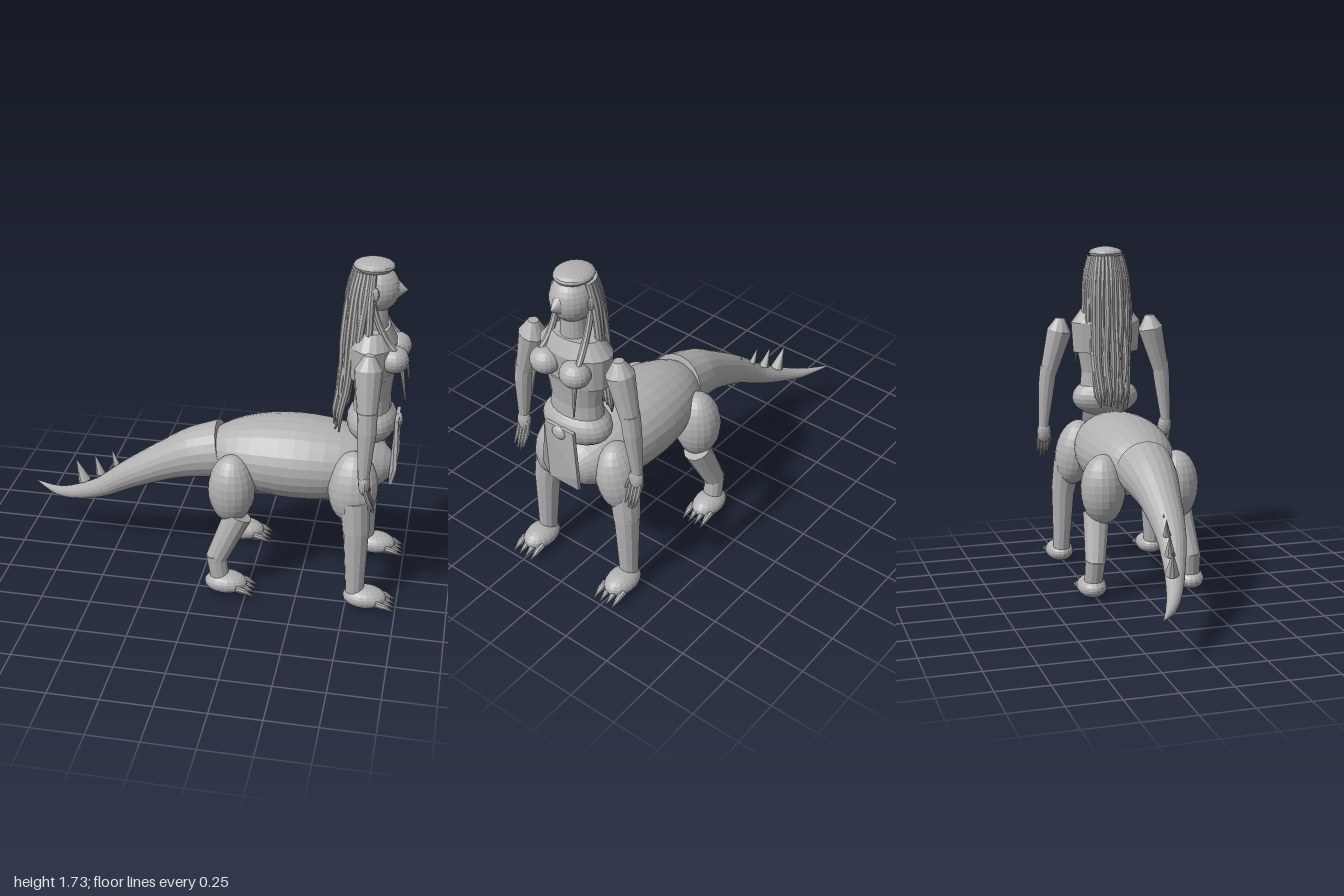
import * as THREE from 'three';

const grey = new THREE.MeshStandardMaterial({ color: 0xb0b0b0, flatShading: true });
grey.name = 'grey';

function add(parent, name, geometry) {
  const mesh = new THREE.Mesh(geometry, grey);
  mesh.name = name;
  parent.add(mesh);
  return mesh;
}

// Ellipsoid from centre and half sizes; poles lie along x when lying is true
function ellipsoid(parent, name, c, h, w = 24, rows = 14, lying = false) {
  const g = new THREE.SphereGeometry(1, w, rows);
  if (lying) g.rotateZ(Math.PI / 2);
  g.scale(...h);
  const mesh = add(parent, name, g);
  mesh.position.set(...c);
  return mesh;
}

// Round sweep through [x, y, z, radius] points, closed at both ends
function sweep(parent, name, pts, sides = 12, smooth = 0) {
  if (smooth) {
    const line = new THREE.CatmullRomCurve3(pts.map(p => new THREE.Vector3(p[0], p[1], p[2])));
    const n = pts.length - 1;
    pts = Array.from({ length: smooth + 1 }, (_, i) => {
      const t = i / smooth, k = Math.min(Math.floor(t * n), n - 1);
      return [...line.getPoint(t).toArray(), THREE.MathUtils.lerp(pts[k][3], pts[k + 1][3], t * n - k)];
    });
  }
  const P = pts.map(p => new THREE.Vector3(p[0], p[1], p[2])), pos = [], idx = [], last = P.length - 1;
  P.forEach((p, i) => {
    const t = P[Math.min(i + 1, last)].clone().sub(P[Math.max(i - 1, 0)]).normalize();
    const u = new THREE.Vector3(0, 0, 1).cross(t).normalize();
    const v = t.clone().cross(u);
    for (let j = 0; j < sides; j++) {
      const a = j / sides * Math.PI * 2, r = pts[i][3];
      pos.push(...p.clone().addScaledVector(u, r * Math.cos(a)).addScaledVector(v, r * Math.sin(a)).toArray());
    }
  });
  const c0 = pos.length / 3;
  pos.push(...P[0].toArray(), ...P[last].toArray());
  for (let j = 0; j < sides; j++) {
    const k = (j + 1) % sides;
    for (let i = 0; i < last; i++) {
      const a = i * sides + j, b = i * sides + k;
      idx.push(a, b, a + sides, b, b + sides, a + sides);
    }
    idx.push(c0, k, j, c0 + 1, last * sides + j, last * sides + k);
  }
  const g = new THREE.BufferGeometry();
  g.setAttribute('position', new THREE.Float32BufferAttribute(pos, 3));
  g.setIndex(idx);
  g.computeVertexNormals();
  return add(parent, name, g);
}

// Oval lathe standing at x with half-depth scale sx
function ovalLathe(parent, name, x, profile, sx) {
  const g = new THREE.LatheGeometry(profile.map(p => new THREE.Vector2(...p)), 20);
  g.scale(sx, 1, 1);
  add(parent, name, g).position.x = x;
}

function foot(parent, x, z) {
  ellipsoid(parent, 'foot', [x, 0.06, z], [0.108, 0.055, 0.075], 18, 12);
  for (let i = 0; i < 4; i++) {
    const dz = (i - 1.5) * 0.037;
    sweep(parent, 'claw', [[x + 0.06, 0.055, z + dz, 0.017], [x + 0.1, 0.045, z + dz, 0.015], [x + 0.153, 0.02, z + dz, 0.001]], 8);
  }
}

export function createModel() {
  const model = new THREE.Group();
  model.name = 'reptileCentaur';

  // Four-legged body and tail
  ellipsoid(model, 'body', [0.46, 0.675, 0], [0.48, 0.207, 0.24], 28, 20, true);
  sweep(model, 'tail', [[0.08, 0.675, 0, 0.148], [-0.06, 0.64, 0, 0.13], [-0.2, 0.58, -0.004, 0.103], [-0.42, 0.458, -0.02, 0.073],
    [-0.58, 0.347, -0.055, 0.052], [-0.74, 0.272, -0.108, 0.037], [-0.85, 0.24, -0.16, 0.025], [-1, 0.24, -0.245, 0.001]], 20, 28);

  // Spikes along the tail
  const spikes = [[-0.68, 0.35, -0.1, 0.034, -0.725, 0.468], [-0.585, 0.41, -0.08, 0.026, -0.617, 0.516],
    [-0.495, 0.48, -0.065, 0.019, -0.52, 0.565], [-0.4, 0.52, -0.045, 0.009, -0.41, 0.56]];
  for (const [x, y, z, r, tx, ty] of spikes)
    sweep(model, 'tailSpike', [[x, y, z, r], [tx, ty, z - 0.01, 0.001]], 10);

  for (const s of [1, -1]) {
    // Hind leg
    const hind = new THREE.Group();
    hind.name = s > 0 ? 'hindLegRight' : 'hindLegLeft';
    ellipsoid(hind, 'thigh', [0.16, 0.56, s * 0.195], [0.117, 0.18, 0.115], 20, 14);
    sweep(hind, 'shin', [[0.2, 0.43, s * 0.22, 0.07], [0.095, 0.185, s * 0.255, 0.053]]);
    sweep(hind, 'ankle', [[0.095, 0.21, s * 0.255, 0.052], [0.12, 0.06, s * 0.262, 0.047]]);
    foot(hind, 0.147, s * 0.262);

    // Front leg
    const fore = new THREE.Group();
    fore.name = s > 0 ? 'frontLegRight' : 'frontLegLeft';
    ellipsoid(fore, 'thigh', [0.755, 0.63, s * 0.19], [0.122, 0.18, 0.105], 20, 14).rotation.x = -s * 0.2;
    sweep(fore, 'upperShin', [[0.77, 0.58, s * 0.23, 0.075], [0.785, 0.42, s * 0.25, 0.066]]);
    sweep(fore, 'lowerShin', [[0.785, 0.44, s * 0.25, 0.064], [0.795, 0.07, s * 0.262, 0.045]]);
    foot(fore, 0.845, s * 0.262);

    // Arm and hand
    const arm = new THREE.Group();
    arm.name = s > 0 ? 'armRight' : 'armLeft';
    sweep(arm, 'upperArm', [[0.805, 1.36, s * 0.25, 0.025], [0.805, 1.29, s * 0.256, 0.068], [0.815, 1.06, s * 0.318, 0.045]]);
    sweep(arm, 'forearm', [[0.815, 1.1, s * 0.315, 0.047], [0.818, 1.0, s * 0.327, 0.045], [0.815, 0.77, s * 0.348, 0.027]]);
    ellipsoid(arm, 'palm', [0.82, 0.74, s * 0.345], [0.028, 0.06, 0.038], 14, 10);
    for (let i = 0; i < 4; i++) {
      const z = s * (0.318 + i * 0.018);
      sweep(arm, 'finger', [[0.825, 0.72, z, 0.011], [0.845, 0.66, z, 0.011], [0.87, i % 3 ? 0.595 : 0.615, z, 0.005]], 8);
    }
    sweep(arm, 'thumb', [[0.825, 0.75, s * 0.32, 0.012], [0.845, 0.68, s * 0.3, 0.007]], 8);
    model.add(hind, fore, arm);

    // Bust, ear and front lock of hair
    ellipsoid(model, 'breast', [0.91, 1.275, s * 0.087], [0.07, 0.065, 0.075], 18, 12);
    ellipsoid(model, 'ear', [0.805, 1.6, s * 0.107], [0.02, 0.035, 0.014], 12, 8);
    sweep(model, 'frontLock', [[0.78, 1.64, s * 0.095, 0.016], [0.81, 1.5, s * 0.095, 0.016], [0.865, 1.38, s * 0.1, 0.016],
      [0.935, 1.29, s * 0.115, 0.014], [0.975, 1.09, s * 0.125, 0.004]], 8, 14);
  }

  // Hips, waist, chest and neck
  ellipsoid(model, 'hips', [0.815, 0.92, 0], [0.123, 0.107, 0.185]);
  ovalLathe(model, 'waist', 0.812, [[0, 0.98], [0.142, 0.98], [0.134, 1.06], [0.145, 1.13], [0.16, 1.2], [0, 1.2]], 0.66);
  ovalLathe(model, 'chest', 0.797, [[0, 1.18], [0.182, 1.175], [0.192, 1.335], [0.134, 1.41], [0, 1.41]], 0.61);
  ovalLathe(model, 'neck', 0.8, [[0, 1.36], [0.07, 1.36], [0.062, 1.53], [0, 1.53]], 1);

  // Head, pointed face and cap of hair
  ellipsoid(model, 'head', [0.805, 1.595, 0], [0.108, 0.113, 0.102]);
  const face = new THREE.ConeGeometry(0.095, 0.1, 16).rotateZ(-Math.PI / 2).scale(1, 1, 0.72);
  add(model, 'face', face).position.set(0.9, 1.595, 0);
  ellipsoid(model, 'hairCap', [0.787, 1.705, 0], [0.098, 0.034, 0.09], 20, 10);

  // Long strands fanned round the back of the head
  const strands = 17;
  for (let i = 0; i < strands; i++) {
    const a = (i / (strands - 1) - 0.5) * Math.PI * 1.05;
    const c = Math.cos(a), s = Math.sin(a), wob = 0.012 * Math.sin(i * 2.4);
    const path = [[0.785 - 0.085 * c, 1.69, 0.085 * s, 0.016], [0.78 - 0.105 * c, 1.58, 0.11 * s, 0.018],
      [0.77 - 0.105 * c + wob, 1.36, 0.122 * s, 0.018]];
    if (c > 0.4) path.push([0.75 - 0.1 * c, 1.12, 0.115 * s + wob, 0.017], [0.705 - 0.065 * c + wob, 0.96, 0.1 * s, 0.014],
      [0.7 - 0.07 * c, 0.86 + 0.05 * Math.abs(Math.sin(i * 1.7)), 0.09 * s, 0.004]);
    else path.push([0.76 - 0.1 * c, 1.2, 0.12 * s, 0.006]);
    sweep(model, 'hairStrand', path, 8, 14);
  }

  // Hanging front cloth, bent along its length, with a round clasp
  const outline = new THREE.Shape([[-0.085, 0.95], [-0.105, 0.7], [-0.088, 0.605], [0.088, 0.605], [0.105, 0.7], [0.085, 0.95]]
    .map(p => new THREE.Vector2(...p)));
  const cloth = new THREE.ExtrudeGeometry(outline, { depth: 0.018, bevelEnabled: false }).rotateY(Math.PI / 2);
  const p = cloth.attributes.position;
  for (let i = 0; i < p.count; i++) p.setX(i, p.getX(i) + (p.getY(i) < 0.65 ? 0.916 : p.getY(i) < 0.8 ? 0.937 : 0.93));
  add(model, 'frontCloth', cloth);
  ellipsoid(model, 'clasp', [0.947, 0.92, 0], [0.018, 0.034, 0.04], 16, 10);

  return model;
}
